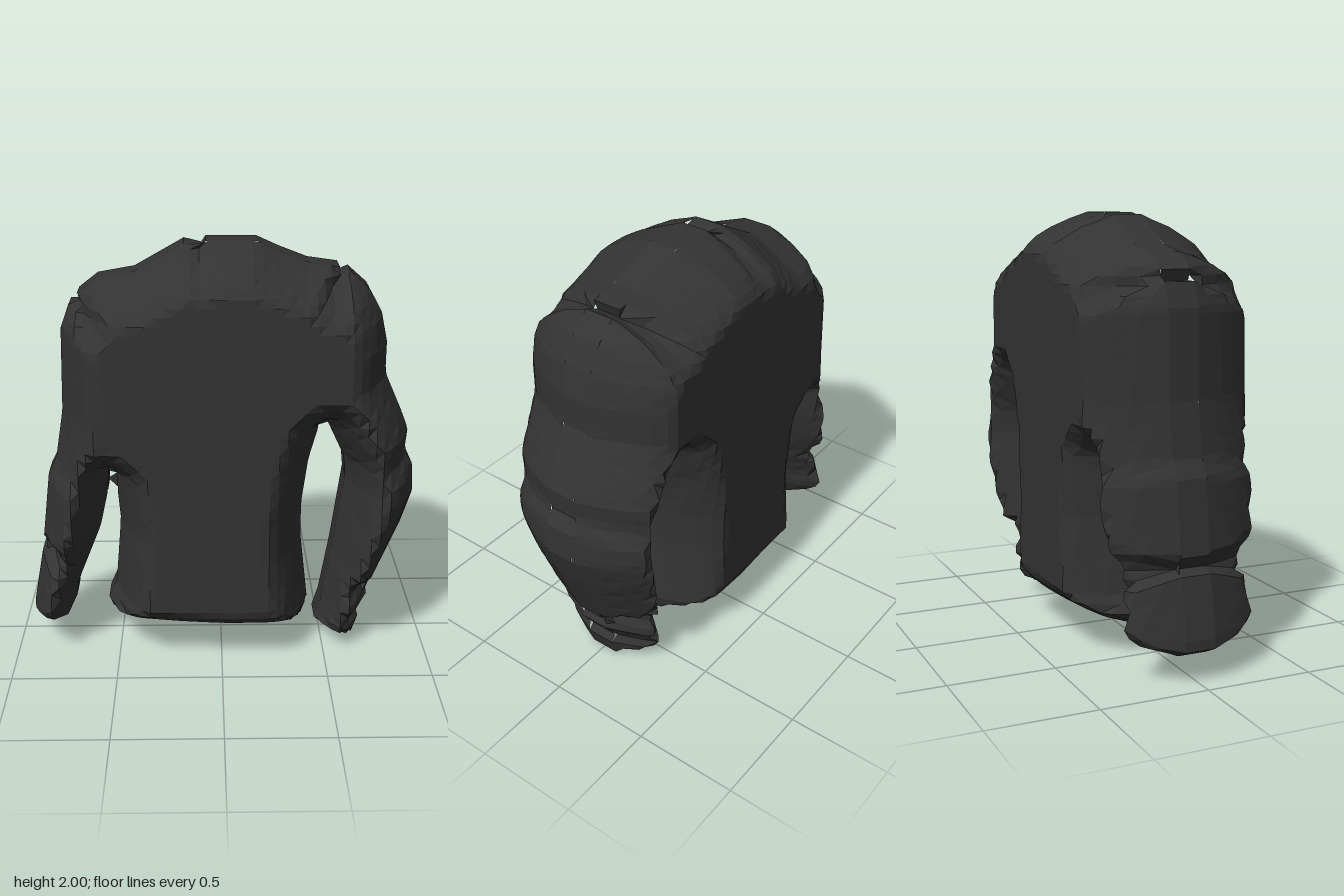
import * as THREE from 'three';

// Outline of the jumper, clockwise from the neck
const OUTLINE = [
  // neck and left shoulder
  [-0.07, 2], [0.16, 2], [0.27, 1.95], [0.4, 1.9], [0.54, 1.88], [0.52, 1.83], [0.59, 1.86], [0.68, 1.78],
  // outside of left sleeve
  [0.74, 1.67], [0.77, 1.53], [0.77, 1.38], [0.85, 1.2], [0.89, 1.1], [0.88, 0.99], [0.92, 0.92], [0.93, 0.78],
  [0.88, 0.62], [0.75, 0.3], [0.69, 0.3], [0.73, 0.22], [0.66, 0.12], [0.69, 0.09],
  // left cuff and inside of left sleeve
  [0.66, 0], [0.55, 0.03], [0.47, 0.08], [0.5, 0.18], [0.55, 0.48], [0.6, 0.86], [0.59, 0.96],
  // left armpit and side
  [0.5, 1.15], [0.47, 1.13], [0.42, 0.95], [0.39, 0.72], [0.39, 0.55], [0.43, 0.2],
  // hem
  [0.4, 0.11], [0.25, 0.09], [0.05, 0.085], [-0.2, 0.1], [-0.42, 0.12], [-0.54, 0.16], [-0.56, 0.21],
  // right side and armpit
  [-0.52, 0.3], [-0.49, 0.64], [-0.51, 0.9], [-0.54, 0.92], [-0.55, 0.78], [-0.59, 0.6],
  // right cuff and sleeve
  [-0.71, 0.3], [-0.72, 0.22], [-0.77, 0.11], [-0.85, 0.11], [-0.93, 0.15], [-0.93, 0.2], [-0.88, 0.47],
  [-0.82, 0.49], [-0.87, 0.55], [-0.83, 0.88], [-0.79, 0.96], [-0.75, 1.2], [-0.74, 1.6], [-0.7, 1.71],
  // right shoulder
  [-0.64, 1.71], [-0.66, 1.76], [-0.57, 1.83], [-0.4, 1.86], [-0.17, 1.99], [-0.09, 1.97],
];

// Half depth by distance from the outline: a faceted bulge up to a flat panel
const BULGE = [[0, 0.07], [0.05, 0.22], [0.12, 0.35], [0.175, 0.4]];
const RIM = BULGE[0][1];

function halfDepth(d) {
  if (d <= 0) return RIM;
  for (let i = 1; i < BULGE.length; i++) {
    const [d0, z0] = BULGE[i - 1], [d1, z1] = BULGE[i];
    if (d < d1) return z0 + (z1 - z0) * (d - d0) / (d1 - d0);
  }
  return BULGE[BULGE.length - 1][1];
}

// Nearest outline point and signed distance (positive inside)
function probe(x, y) {
  let best = Infinity, nx = 0, ny = 0, inside = false;
  OUTLINE.forEach(([ax, ay], i) => {
    const [bx, by] = OUTLINE[(i + 1) % OUTLINE.length];
    const ex = bx - ax, ey = by - ay;
    const t = THREE.MathUtils.clamp(((x - ax) * ex + (y - ay) * ey) / (ex * ex + ey * ey), 0, 1);
    const px = ax + ex * t, py = ay + ey * t, d = Math.hypot(x - px, y - py);
    if (d < best) { best = d; nx = px; ny = py; }
    if ((ay > y) !== (by > y) && x < ax + ex * (y - ay) / ey) inside = !inside;
  });
  return { d: inside ? best : -best, nx, ny };
}

// Part to which a spot on the garment belongs
function partAt(x, y) {
  if (x > 0.46) return 'leftSleeve';
  return x < -0.53 - Math.max(0, 0.9 - y) * 0.13 ? 'rightSleeve' : 'torso';
}

export function createModel() {
  const cloth = new THREE.MeshStandardMaterial({ color: 0x333333 });
  cloth.name = 'charcoal cloth';

  const parts = { torso: [], leftSleeve: [], rightSleeve: [] };
  const addTriangle = (a, b, c) => {
    const part = partAt((a[0] + b[0] + c[0]) / 3, (a[1] + b[1] + c[1]) / 3);
    parts[part].push(...a, ...b, ...c);
  };
  const flip = ([x, y, z]) => [x, y, -z];

  // Grid points, with those outside pulled onto the outline
  const step = 0.04, cols = 49, rows = 52;
  const grid = [];
  for (let j = 0; j <= rows; j++) {
    grid.push([]);
    for (let i = 0; i <= cols; i++) {
      const x = -0.98 + i * step, y = -0.03 + j * step;
      const { d, nx, ny } = probe(x, y);
      grid[j].push({ inside: d > 0, p: d > 0 ? [x, y, halfDepth(d)] : [nx, ny, RIM] });
    }
  }

  // Front and back panels
  for (let j = 0; j < rows; j++) {
    for (let i = 0; i < cols; i++) {
      const a = grid[j][i], b = grid[j][i + 1], c = grid[j + 1][i + 1], e = grid[j + 1][i];
      if (![a, b, c, e].some((v) => v.inside)) continue;
      const halves = (i + j) % 2 ? [[a, b, c], [a, c, e]] : [[a, b, e], [b, c, e]];
      for (const tri of halves) {
        const [p, q, r] = tri.map((v) => v.p);
        const area = (q[0] - p[0]) * (r[1] - p[1]) - (q[1] - p[1]) * (r[0] - p[0]);
        if (area < 1e-7) continue;
        if (probe((p[0] + q[0] + r[0]) / 3, (p[1] + q[1] + r[1]) / 3).d < -0.012) continue;
        addTriangle(p, q, r);
        addTriangle(flip(p), flip(r), flip(q));
      }
    }
  }

  // Narrow band joining the panels along the outline
  OUTLINE.forEach(([ax, ay], i) => {
    const [bx, by] = OUTLINE[(i + 1) % OUTLINE.length];
    const a = [ax, ay, RIM], b = [bx, by, RIM];
    addTriangle(a, b, flip(b));
    addTriangle(a, flip(b), flip(a));
  });

  const group = new THREE.Group();
  group.name = 'jumper';
  for (const [name, positions] of Object.entries(parts)) {
    const geometry = new THREE.BufferGeometry();
    geometry.setAttribute('position', new THREE.Float32BufferAttribute(positions, 3));
    geometry.computeVertexNormals(); // unshared corners give flat facets
    const mesh = new THREE.Mesh(geometry, cloth);
    mesh.name = name;
    group.add(mesh);
  }
  return group;
}
